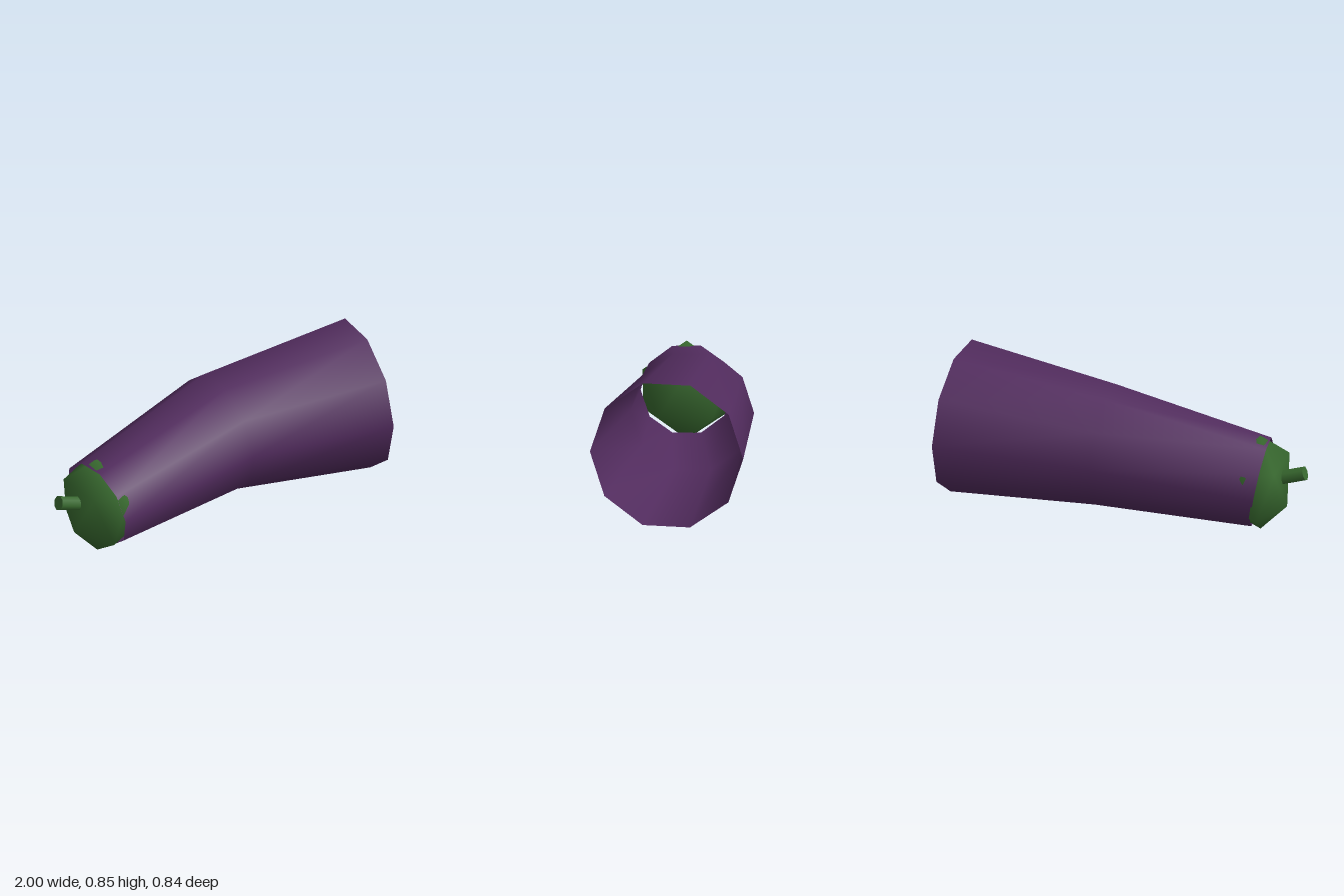
import * as THREE from 'three';
import { mergeVertices } from 'three/addons/utils/BufferGeometryUtils.js';

const V = (x, y, z) => new THREE.Vector3(x, y, z);

// Open tube: rings of the given radii, each square to the path at its centre.
function sweptTube(centres, radii, sides) {
  const positions = [], index = [];
  centres.forEach((c, i) => {
    const t = V(0, 0, 0);
    if (i > 0) t.add(c.clone().sub(centres[i - 1]).normalize());
    if (i < centres.length - 1) t.add(centres[i + 1].clone().sub(c).normalize());
    t.normalize();
    const up = V(0, 1, 0).addScaledVector(t, -t.y).normalize();
    const side = t.clone().cross(up);
    for (let j = 0; j < sides; j++) {
      const a = ((j + 0.5) / sides) * Math.PI * 2;
      const p = c.clone()
        .addScaledVector(up, radii[i] * Math.cos(a))
        .addScaledVector(side, radii[i] * Math.sin(a));
      positions.push(p.x, p.y, p.z);
      if (i < centres.length - 1) {
        const k = (j + 1) % sides;
        const a0 = i * sides + j, a1 = i * sides + k;
        index.push(a0, a1, a0 + sides, a1, a1 + sides, a0 + sides);
      }
    }
  });
  const g = new THREE.BufferGeometry();
  g.setAttribute('position', new THREE.Float32BufferAttribute(positions, 3));
  g.setIndex(index);
  g.computeVertexNormals();
  return g;
}

// Smooth-shaded icosahedron standing on one corner, flattened along x.
function calyxGeometry(radius, flatten) {
  let g = new THREE.IcosahedronGeometry(radius, 0);
  g.deleteAttribute('uv');
  g.deleteAttribute('normal');
  g = mergeVertices(g, 1e-4);
  g.rotateZ(-Math.atan(2 / (1 + Math.sqrt(5))));
  g.scale(flatten, 1, 1);
  g.computeVertexNormals();
  return g;
}

export function createModel() {
  const group = new THREE.Group();
  const purple = new THREE.MeshStandardMaterial({ color: 0x522c5e, side: THREE.DoubleSide });
  const green = new THREE.MeshStandardMaterial({ color: 0x38692f });

  const add = (name, geometry, material) => {
    const mesh = new THREE.Mesh(geometry, material);
    mesh.name = name;
    group.add(mesh);
    return mesh;
  };

  // Bent, widening body, open at both ends
  add('body', sweptTube(
    [V(-0.74, 0.282, 0), V(0.115, 0.43, -0.085), V(0.955, 0.45, 0)],
    [0.25, 0.336, 0.421], 10), purple);

  // Faceted leaf cap over the narrow end
  add('calyx', calyxGeometry(0.28, 0.6), green).position.set(-0.735, 0.28, 0);

  // Short stalk leaning upwards
  const from = V(-0.8, 0.307, 0), to = V(-0.987, 0.367, 0);
  const stem = add('stem', new THREE.CylinderGeometry(0.04, 0.04, from.distanceTo(to), 8), green);
  stem.position.copy(from).lerp(to, 0.5);
  stem.quaternion.setFromUnitVectors(V(0, 1, 0), to.clone().sub(from).normalize());

  return group;
}
